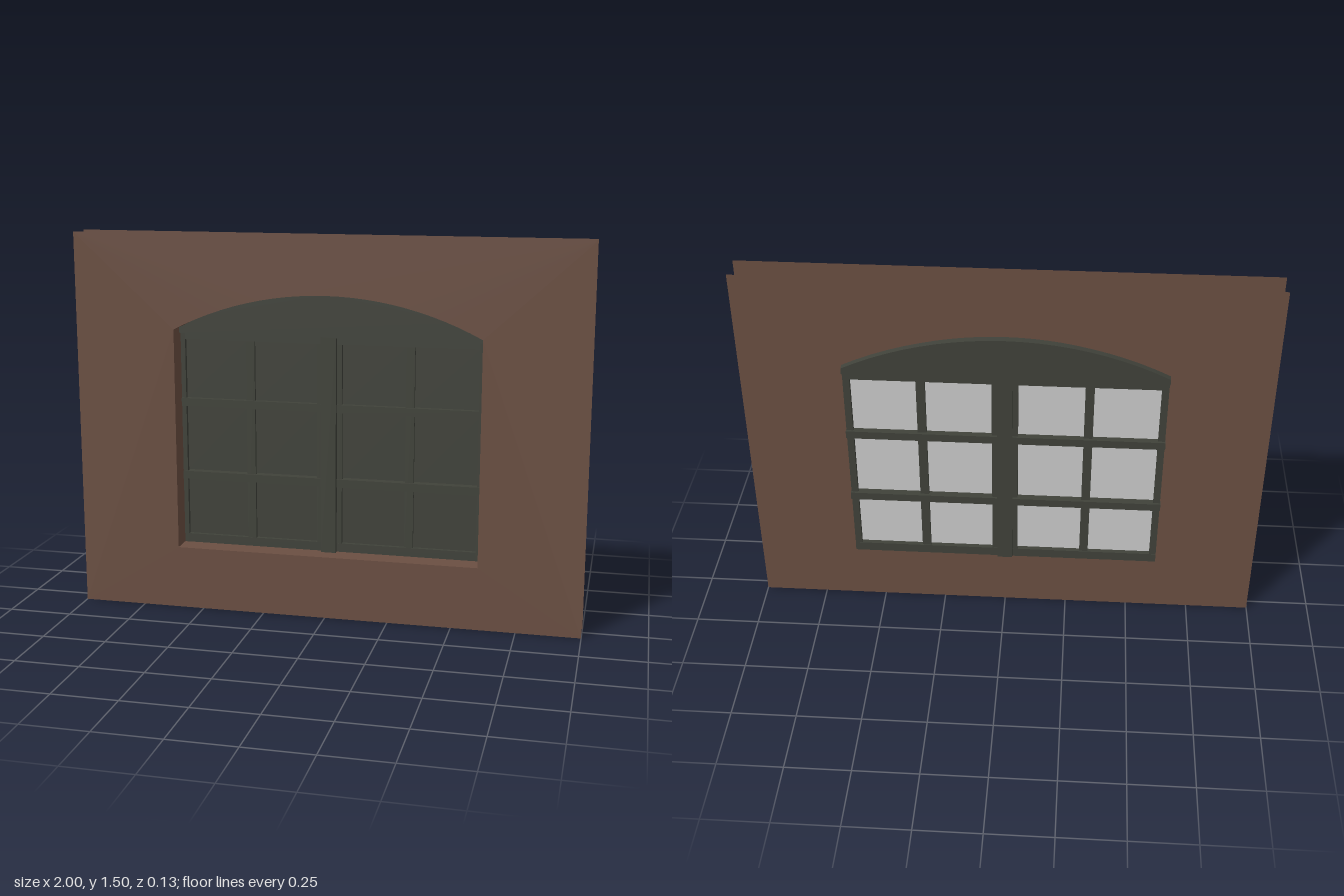
import * as THREE from 'three';

export function createModel() {
  const model = new THREE.Group();
  const wallMat = new THREE.MeshStandardMaterial({ name: 'brownWall', color: 0x6b4f42, side: THREE.DoubleSide });
  const frameMat = new THREE.MeshStandardMaterial({ name: 'darkFrame', color: 0x40423a });
  const glassMat = new THREE.MeshStandardMaterial({ name: 'paleGlass', color: 0xcccccc });

  const add = (name, geometry, material, parent = model) => {
    const mesh = new THREE.Mesh(geometry, material);
    mesh.name = name;
    parent.add(mesh);
    return mesh;
  };
  // Box given by its limits on each axis
  const box = (name, x0, x1, y0, y1, z0, z1, material = frameMat) => {
    const mesh = add(name, new THREE.BoxGeometry(x1 - x0, y1 - y0, z1 - z0), material);
    mesh.position.set((x0 + x1) / 2, (y0 + y1) / 2, (z0 + z1) / 2);
    return mesh;
  };
  // Points of a shallow arch from +halfWidth to -halfWidth
  const arch = (halfWidth, spring, top, steps) => {
    const rise = top - spring;
    const r = (halfWidth ** 2 + rise ** 2) / (2 * rise);
    const a = Math.asin(halfWidth / r);
    return Array.from({ length: steps + 1 }, (_, i) => {
      const t = a - (2 * a * i) / steps;
      return new THREE.Vector2(r * Math.sin(t), top - r + r * Math.cos(t));
    });
  };

  // Two wall sheets with an arched opening
  const opening = [new THREE.Vector2(-0.6, 0.25), new THREE.Vector2(0.6, 0.25), ...arch(0.6, 1.13, 1.277, 24)];
  const wall = new THREE.Shape([[-1, 0], [1, 0], [1, 1.5], [-1, 1.5]].map(p => new THREE.Vector2(...p)));
  wall.holes.push(new THREE.Path(opening));
  const sheet = new THREE.ShapeGeometry(wall);
  add('frontWall', sheet, wallMat).position.z = 0.065;
  add('backWall', sheet, wallMat).position.z = -0.04;

  // Reveal lining the opening
  const positions = [];
  opening.forEach((p, i) => {
    const q = opening[(i + 1) % opening.length];
    const f = 0.065, b = -0.02;
    positions.push(p.x, p.y, f, q.x, q.y, b, q.x, q.y, f, p.x, p.y, f, p.x, p.y, b, q.x, q.y, b);
  });
  const reveal = new THREE.BufferGeometry();
  reveal.setAttribute('position', new THREE.Float32BufferAttribute(positions, 3));
  reveal.computeVertexNormals();
  add('reveal', reveal, wallMat);

  // Solid arched head panel
  const head = new THREE.Shape([new THREE.Vector2(-0.61, 1.108), new THREE.Vector2(0.61, 1.108), ...arch(0.61, 1.132, 1.275, 20)]);
  const headGeometry = new THREE.ExtrudeGeometry(head, { depth: 0.065, bevelEnabled: false });
  add('archPanel', headGeometry, frameMat).position.z = -0.065;

  // Centre post
  box('centrePost', -0.03, 0.03, 0.245, 1.11, -0.065, 0);

  const rows = [[0.285, 0.515], [0.55, 0.815], [0.845, 1.08]];
  const columns = [[0.05, 0.3], [0.334, 0.582]];
  for (const side of [-1, 1]) {
    const span = (name, a, b, ...rest) =>
      box(name, Math.min(side * a, side * b), Math.max(side * a, side * b), ...rest);

    // Sash frame
    span('outerStile', 0.582, 0.608, 0.247, 1.108, -0.056, -0.018);
    span('innerStile', 0.03, 0.05, 0.25, 1.108, -0.056, -0.02);
    span('bottomRail', 0.03, 0.608, 0.247, 0.285, -0.058, -0.019);
    span('topRail', 0.03, 0.608, 1.08, 1.108, -0.058, -0.019);

    // Glazing bars
    span('verticalBar', 0.3, 0.334, 0.285, 1.08, -0.054, -0.021);
    for (const y of [0.532, 0.83]) span('horizontalBar', 0.03, 0.61, y - 0.017, y + 0.015, -0.065, -0.013);

    // Panes: dark from the front, pale from behind
    for (const [x0, x1] of columns) for (const [y0, y1] of rows) {
      span('pane', x0, x1, y0, y1, -0.04, -0.034,
        [frameMat, frameMat, frameMat, frameMat, frameMat, glassMat]);
    }
  }
  return model;
}
